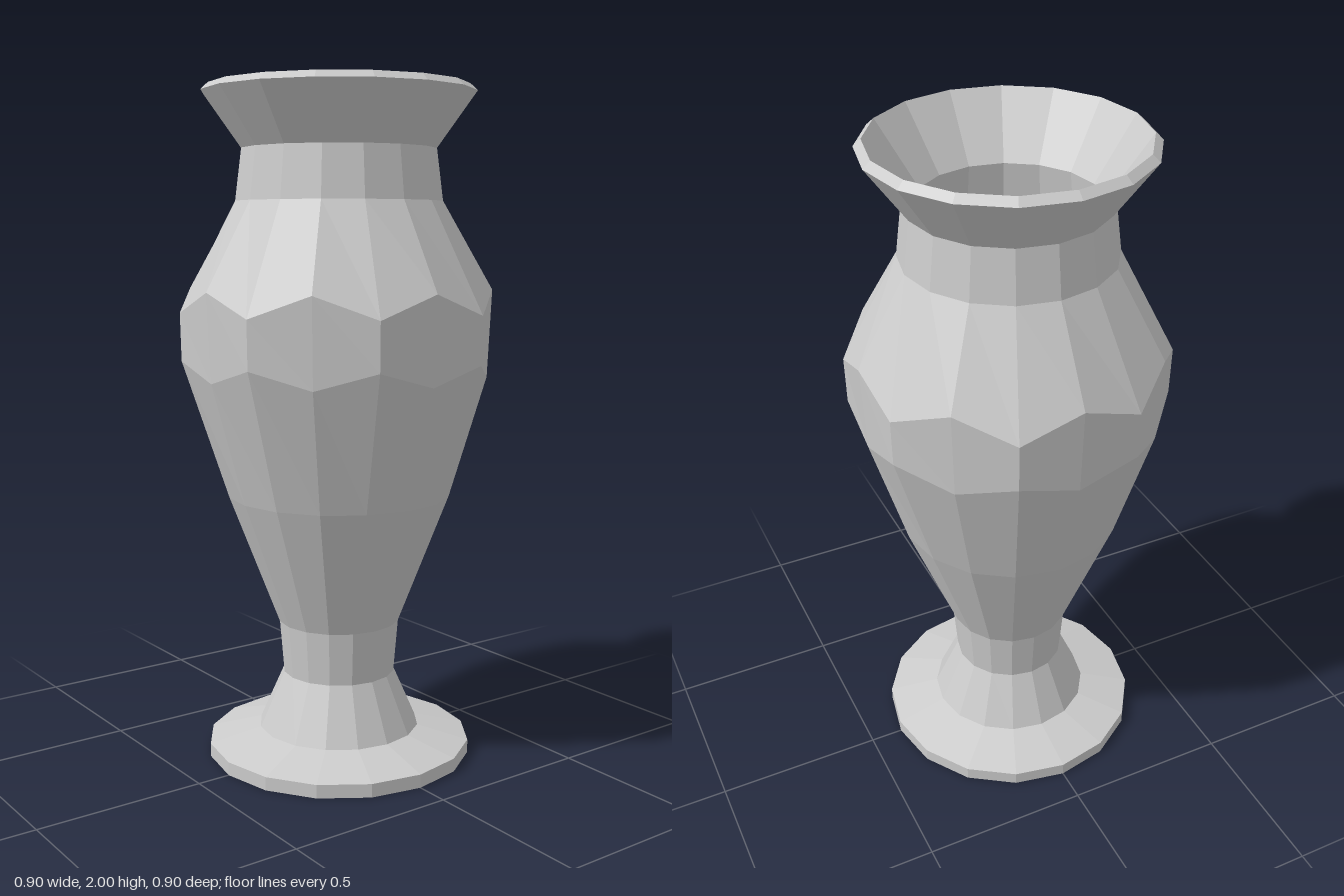
import * as THREE from 'three';

const SIDES = 16;
const material = new THREE.MeshStandardMaterial({ color: 0xcccccc, flatShading: true });

// Rings are [radius, height] or, where the facets zigzag,
// [radius, height, radius of odd corners, height of odd corners].
function turned(name, rings) {
  const profile = rings.map(([r, y]) => new THREE.Vector2(r, y));
  const lathe = new THREE.LatheGeometry(profile, SIDES);
  const pos = lathe.attributes.position;
  for (let i = 1; i < SIDES; i += 2) {
    const angle = (i / SIDES) * Math.PI * 2;
    rings.forEach(([r, y, oddR = r, oddY = y], j) => {
      pos.setXYZ(i * rings.length + j, oddR * Math.sin(angle), oddY, oddR * Math.cos(angle));
    });
  }
  const geometry = lathe.toNonIndexed();
  geometry.computeVertexNormals();
  const mesh = new THREE.Mesh(geometry, material);
  mesh.name = name;
  return mesh;
}

export function createModel() {
  const vase = new THREE.Group();
  vase.name = 'vase';

  // Closed disc foot with a sloping top
  vase.add(turned('foot', [[0, 0], [0.4, 0], [0.4, 0.04], [0.245, 0.08]]));

  // Flared stem
  vase.add(turned('stem', [[0.245, 0.08], [0.17, 0.25], [0.183, 0.41]]));

  // Belly with a band of hexagonal facets, drawn in to the neck
  vase.add(turned('body', [
    [0.183, 0.41],
    [0.333, 0.8],
    [0.44, 1.16, 0.468, 1.21],
    [0.452, 1.415, 0.471, 1.35],
    [0.306, 1.67],
    [0.287, 1.82],
  ]));

  // Flared lip with a bevelled edge
  vase.add(turned('lip', [[0.287, 1.82], [0.402, 1.98], [0.38, 2], [0.257, 1.82]]));

  // Hollow inside, from the neck down to the floor
  vase.add(turned('interior', [
    [0.257, 1.82],
    [0.276, 1.67],
    [0.42, 1.41, 0.44, 1.35],
    [0.41, 1.16, 0.438, 1.21],
    [0.303, 0.8],
    [0.155, 0.42],
    [0, 0.42],
  ]));

  return vase;
}
